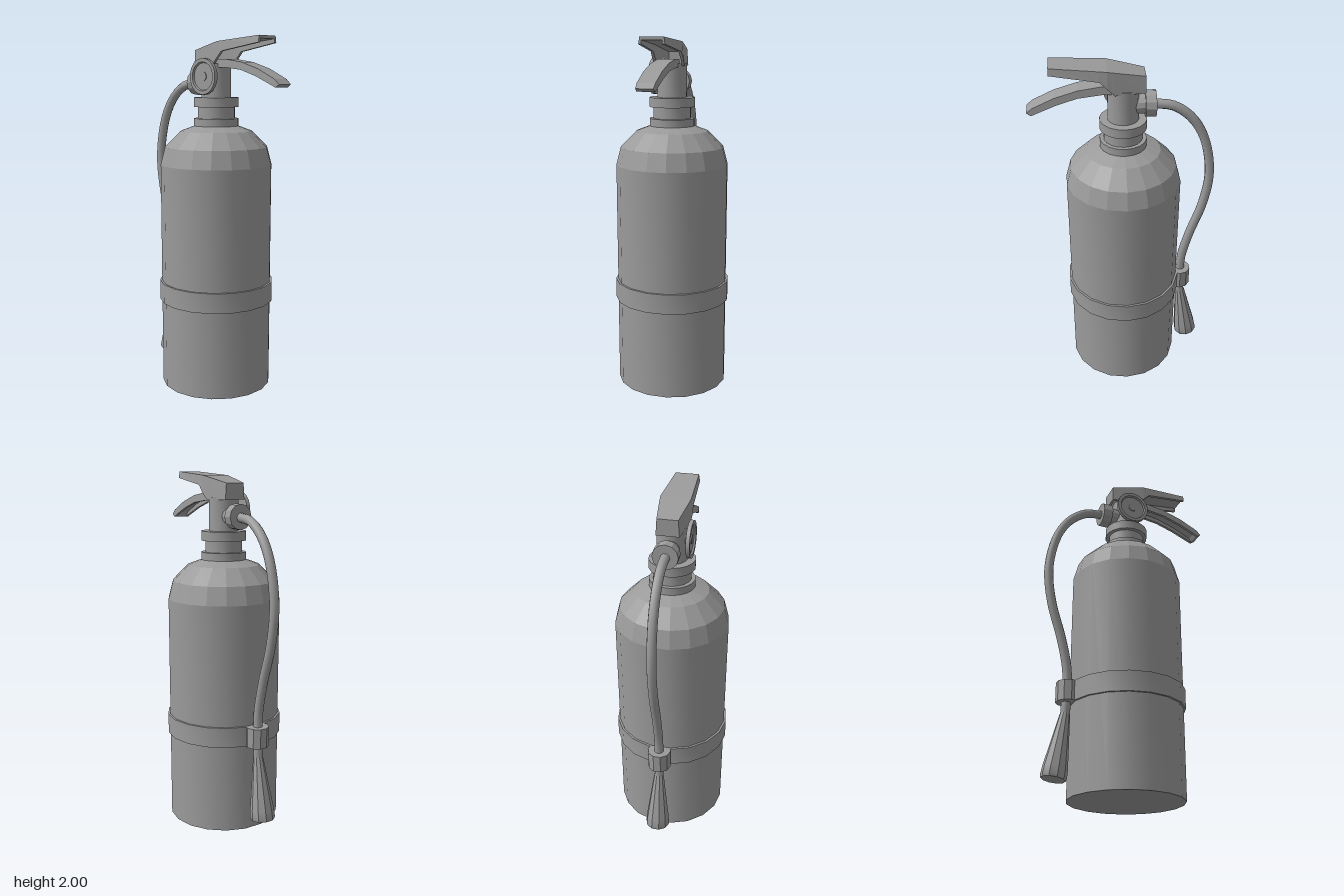
import * as THREE from 'three';
import { toCreasedNormals } from 'three/addons/utils/BufferGeometryUtils.js';

const GREY = 0x9b9b9b;
const smooth = new THREE.MeshStandardMaterial({ color: GREY, side: THREE.DoubleSide });
const flat = new THREE.MeshStandardMaterial({ color: GREY, side: THREE.DoubleSide, flatShading: true });
const SIDES = 18;
const AXIS_Z = 0.004; // tank axis
const v2 = (p) => new THREE.Vector2(p[0], p[1]);

export function createModel() {
  const model = new THREE.Group();
  const add = (name, geometry, material = smooth) => {
    const mesh = new THREE.Mesh(geometry, material);
    mesh.name = name;
    model.add(mesh);
    return mesh;
  };

  // Turned part from [radius, height] pairs, with sharp rims
  const turned = (name, profile, sides = SIDES, material = smooth) => {
    const g = new THREE.LatheGeometry(profile.map(v2), sides);
    g.rotateY(Math.PI / 2);
    const mesh = add(name, toCreasedNormals(g, 0.5), material);
    mesh.position.z = AXIS_Z;
    return mesh;
  };
  const disc = (r, y0, y1) => [[0, y0], [r, y0], [r, y1], [0, y1]];

  // Inverted channel swept along z. Station: [z, half width, top, bottom, wall, bottom z]
  const channel = (name, stations, bevel) => {
    const rings = stations.map(([z, w, top, bot, wall, zb = z]) => {
      const roof = Math.max(bot, top - wall);
      const wi = w - 0.016;
      const zr = z + (zb - z) * ((top - roof) / (top - bot));
      return [
        [w, bot, zb], [w - bevel, top, z], [bevel - w, top, z], [-w, bot, zb],
        [-wi, bot, zb], [-wi, roof, zr], [wi, roof, zr], [wi, bot, zb],
      ];
    });
    const pos = [];
    const quad = (a, b, c, d) => pos.push(...a, ...b, ...c, ...a, ...c, ...d);
    for (let s = 0; s < rings.length - 1; s++) {
      const a = rings[s], b = rings[s + 1];
      for (let i = 0; i < 8; i++) {
        const j = (i + 1) % 8;
        quad(a[i], a[j], b[j], b[i]);
      }
    }
    // End faces
    const back = rings[0], front = rings[rings.length - 1];
    for (const [i, j, k, l] of [[0, 1, 6, 7], [1, 2, 5, 6], [2, 3, 4, 5]]) {
      quad(front[i], front[j], front[k], front[l]);
      quad(back[l], back[k], back[j], back[i]);
    }
    const g = new THREE.BufferGeometry();
    g.setAttribute('position', new THREE.Float32BufferAttribute(pos, 3));
    g.computeVertexNormals();
    return add(name, g, flat);
  };

  // Tank: smooth wall, faceted shoulder
  turned('tankBody', [[0, 0], [0.319, 0], [0.319, 1.297]]);
  turned('tankShoulder', [[0.319, 1.297], [0.292, 1.398], [0.204, 1.487], [0.125, 1.516], [0, 1.516]], SIDES, flat);
  turned('strap', [[0.315, 0.505], [0.331, 0.505], [0.331, 0.619], [0.315, 0.619]]);

  // Neck and valve
  turned('neckRing', disc(0.127, 1.513, 1.558));
  turned('neck', disc(0.105, 1.55, 1.63));
  turned('collar', disc(0.127, 1.622, 1.675));
  turned('valveBody', disc(0.083, 1.67, 1.86));

  // Pressure gauge on the right side, facing -x
  const gauge = turned('gauge', [
    [0, 0], [0.1, 0], [0.1, 0.021], [0.08, 0.021], [0.075, 0.011],
    [0.025, 0.011], [0.025, 0.016], [0, 0.016],
  ]);
  const gaugeStem = turned('gaugeStem', disc(0.035, -0.04, 0.004));
  for (const part of [gauge, gaugeStem]) {
    part.rotation.z = Math.PI / 2;
    part.position.set(-0.09, 1.79, AXIS_Z);
  }

  // Hose outlet behind the valve
  const outlet = turned('outlet', disc(0.053, 0.05, 0.13), 12);
  const nut = turned('hoseNut', disc(0.07, 0.114, 0.171), 12);
  for (const part of [outlet, nut]) {
    part.rotation.x = -Math.PI / 2;
    part.position.y = 1.757;
  }

  // Hose
  const path = new THREE.CatmullRomCurve3([
    [1.755, -0.15], [1.738, -0.26], [1.67, -0.355], [1.57, -0.422], [1.438, -0.464],
    [1.28, -0.48], [1.09, -0.453], [0.877, -0.388], [0.707, -0.35], [0.6, -0.345], [0.44, -0.35],
  ].map(([y, z]) => new THREE.Vector3(0, y, z)));
  add('hose', new THREE.TubeGeometry(path, 40, 0.026, 10));

  // Clip holding the hose to the strap
  turned('hoseClip', disc(0.066, 0.505, 0.619), 10).position.z = -0.339;

  // Flared nozzle, tilted away from the tank
  const nozzle = turned('nozzle', [
    [0, 0], [0.066, 0], [0.07, 0.012], [0.067, 0.06], [0.029, 0.35], [0.024, 0.368], [0, 0.368],
  ], 10);
  nozzle.position.set(0, 0.085, -0.402);
  nozzle.rotation.x = Math.atan2(0.053, 0.366);

  // Carrying handle above, squeeze lever below
  channel('carryHandle', [
    [-0.109, 0.062, 1.937, 1.847, 0.2],
    [-0.095, 0.064, 1.94, 1.847, 0.2],
    [-0.094, 0.064, 1.94, 1.847, 0.018],
    [0.05, 0.084, 1.97, 1.847, 0.018],
    [0.09, 0.088, 1.978, 1.886, 0.018],
    [0.127, 0.086, 1.981, 1.925, 0.018],
    [0.381, 0.071, 2.0, 1.963, 0.016],
  ], 0.006);
  channel('squeezeLever', [
    [0.04, 0.052, 1.885, 1.84, 0.016],
    [0.12, 0.052, 1.884, 1.839, 0.016],
    [0.24, 0.052, 1.866, 1.824, 0.016],
    [0.36, 0.052, 1.829, 1.79, 0.016, 0.348],
    [0.475, 0.051, 1.775, 1.744, 0.016, 0.457],
    [0.505, 0.049, 1.748, 1.732, 0.2, 0.481],
  ], 0.002);

  return model;
}
